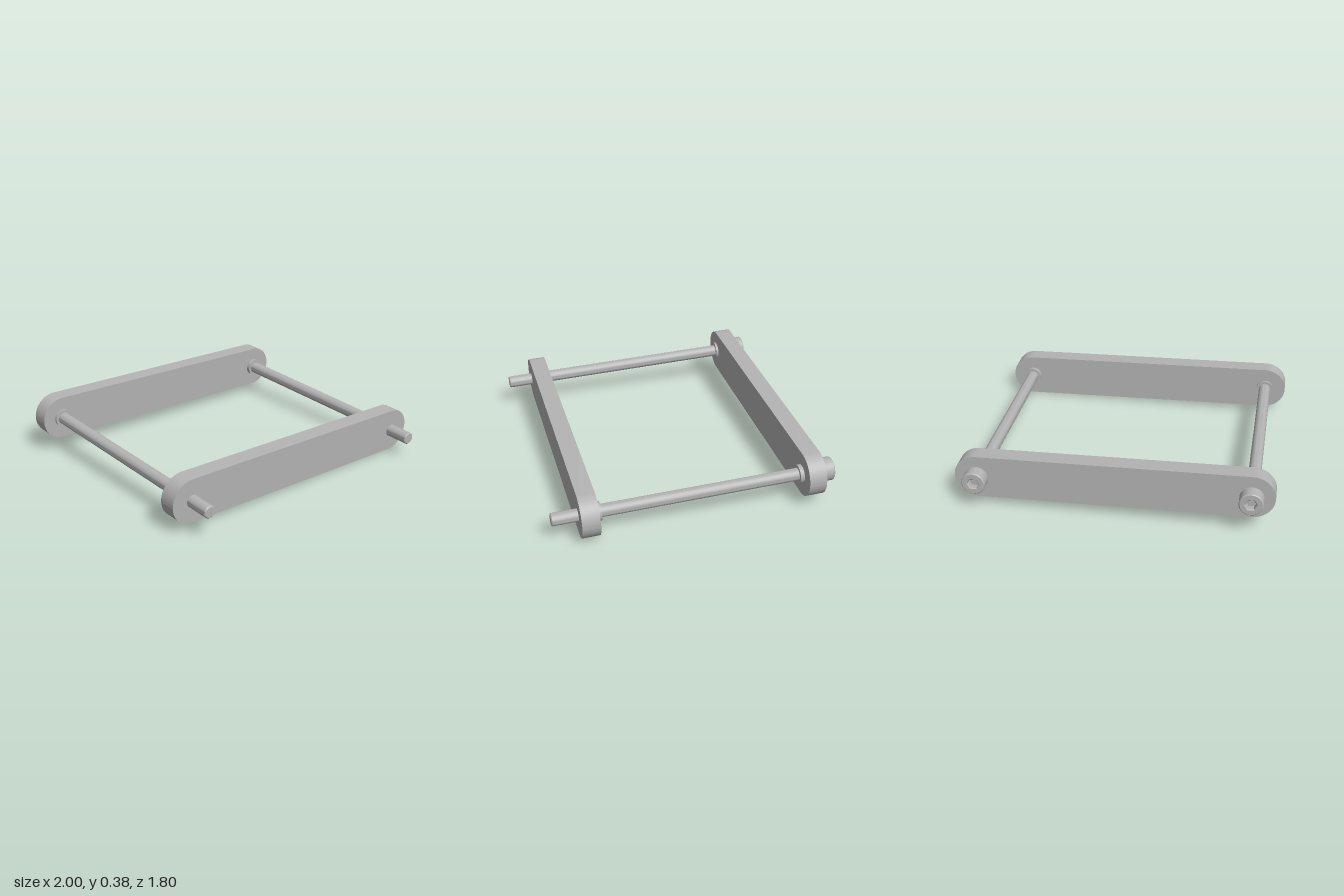
import * as THREE from 'three';
import { toCreasedNormals } from 'three/addons/utils/BufferGeometryUtils.js';

const HALF = 0.855;    // rod spacing from the centre
const PLATE_R = 0.143; // plate end radius
const PLATE_Z = 0.712; // plate distance from the centre
const PLATE_T = 0.112; // plate thickness
const ROD_R = 0.04;

export function createModel() {
  const steel = new THREE.MeshStandardMaterial({ color: 0xb4b4b4 });
  steel.name = 'steel grey';

  const model = new THREE.Group();
  model.name = 'clampFrame';
  const frame = new THREE.Group();
  frame.name = 'tiltedFrame';
  model.add(frame);

  const add = (name, geometry, x, z) => {
    const mesh = new THREE.Mesh(geometry, steel);
    mesh.name = name;
    mesh.position.set(x, 0, z);
    frame.add(mesh);
    return mesh;
  };

  // Round-ended plate
  const outline = new THREE.Shape();
  outline.absarc(HALF, 0, PLATE_R, -Math.PI / 2, Math.PI / 2);
  outline.absarc(-HALF, 0, PLATE_R, Math.PI / 2, Math.PI * 1.5);
  outline.closePath();
  const plate = toCreasedNormals(new THREE.ExtrudeGeometry(outline, {
    depth: PLATE_T, bevelEnabled: false, curveSegments: 32,
  }).translate(0, 0, -PLATE_T / 2), 0.6);
  add('frontPlate', plate, 0, PLATE_Z);
  add('backPlate', plate, 0, -PLATE_Z);

  // Rod with a chamfered front tip; its rear end is the floor of the socket
  const rodBack = -0.815, rodFront = 0.932;
  const rodProfile = [
    [0, rodBack], [ROD_R, rodBack], [ROD_R, rodFront - 0.006], [ROD_R - 0.006, rodFront], [0, rodFront],
  ].map(([r, y]) => new THREE.Vector2(r, y));
  const rod = toCreasedNormals(new THREE.LatheGeometry(rodProfile, 32).rotateX(Math.PI / 2), 0.6);

  // Round bolt head with a hexagonal socket
  const bevel = 0.006, headH = 0.086;
  const headShape = new THREE.Shape().absarc(0, 0, 0.075 - bevel, 0, Math.PI * 2);
  const hex = Array.from({ length: 6 }, (_, i) =>
    new THREE.Vector2(Math.cos(i * Math.PI / 3), Math.sin(i * Math.PI / 3)).multiplyScalar(0.042));
  headShape.holes.push(new THREE.Path(hex));
  const head = toCreasedNormals(new THREE.ExtrudeGeometry(headShape, {
    depth: headH - bevel * 2, bevelThickness: bevel, bevelSize: bevel, bevelSegments: 1, curveSegments: 20,
  }).translate(0, 0, bevel), 0.5);

  const inner = PLATE_Z - PLATE_T / 2;
  const outer = PLATE_Z + PLATE_T / 2;
  for (const [side, s, collarT] of [['left', 1, 0.026], ['right', -1, 0.016]]) {
    const x = s * HALF;
    add(side + 'Rod', rod, x, 0);
    add(side + 'BoltHead', head, x, -outer - headH);
    // Collars against the inner faces of both plates
    const collar = new THREE.CylinderGeometry(0.059, 0.059, collarT, 32).rotateX(Math.PI / 2);
    add(side + 'FrontCollar', collar, x, inner - collarT / 2);
    add(side + 'BackCollar', collar, x, -inner + collarT / 2);
  }

  // The whole frame sits slightly askew
  frame.rotation.set(0.035, -0.005, -0.0263);
  frame.position.set(-0.002, 0.193, -0.044);
  return model;
}
